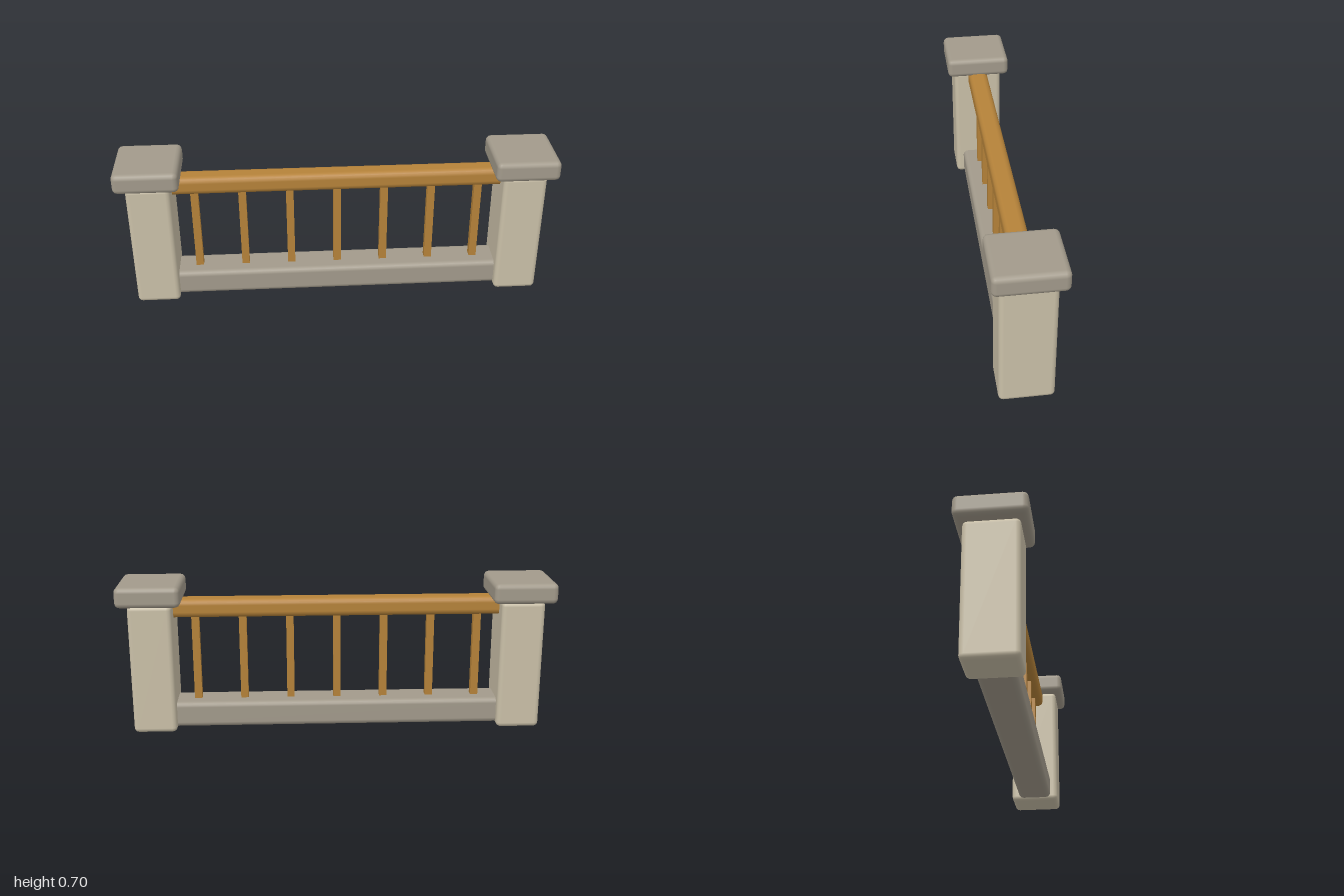
import * as THREE from 'three';
import { RoundedBoxGeometry } from 'three/addons/geometries/RoundedBoxGeometry.js';

export function createModel() {
  const group = new THREE.Group();
  group.name = 'balustrade';

  const material = (name, color) => {
    const m = new THREE.MeshStandardMaterial({ color });
    m.name = name;
    return m;
  };
  const paleStone = material('pale stone', 0xcac0a8);
  const greyStone = material('grey stone', 0xa29a8b);
  const wood = material('wood', 0xb58239);

  const add = (name, geometry, mat, x, y) => {
    const mesh = new THREE.Mesh(geometry, mat);
    mesh.name = name;
    mesh.position.set(x, y, 0);
    group.add(mesh);
  };
  const rounded = (w, h, d, r) => new RoundedBoxGeometry(w, h, d, 2, r);

  // Stone posts with overhanging caps, mirrored
  for (const [side, s] of [['left', 1], ['right', -1]]) {
    add(`${side}Post`, rounded(0.2, 0.612, 0.238, 0.022), paleStone, s * 0.852, 0.306);
    add(`${side}Cap`, rounded(0.292, 0.095, 0.308, 0.024), greyStone, s * 0.854, 0.6565);
  }

  // Stone base beam, ends buried in the posts
  add('baseBeam', rounded(1.62, 0.122, 0.164, 0.024), greyStone, 0, 0.073);

  // Wooden top rail
  add('topRail', rounded(1.6, 0.088, 0.096, 0.028), wood, 0, 0.578);

  // Evenly spaced balusters
  for (let i = -3; i <= 3; i++) {
    add(`baluster${i + 4}`, new THREE.BoxGeometry(0.035, 0.45, 0.035), wood, i * 0.2187, 0.335);
  }

  return group;
}
